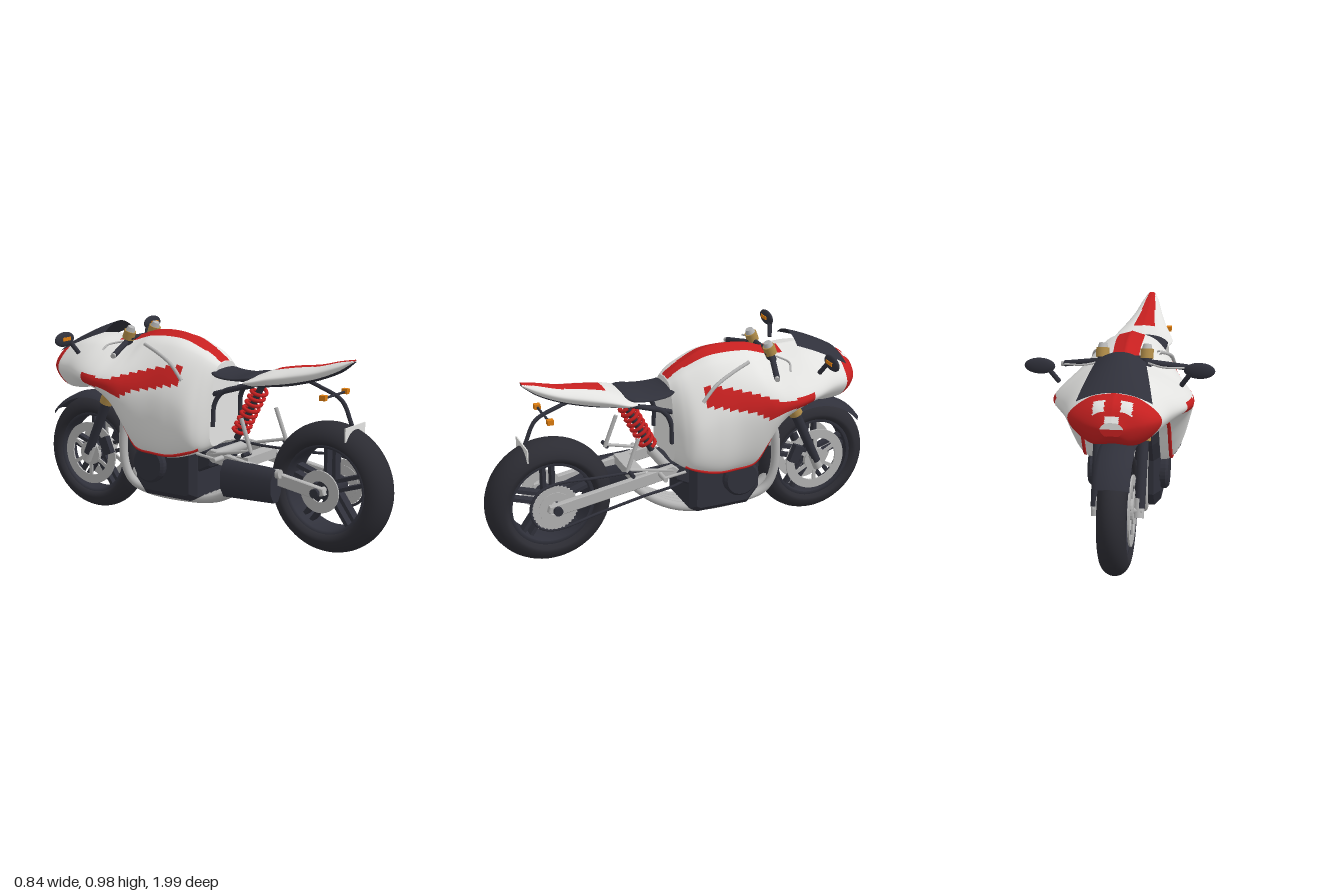
import * as THREE from 'three';

const V = (p) => new THREE.Vector3(...p);
const paint = (name, color, double) => {
  const m = new THREE.MeshStandardMaterial({ color });
  m.name = name;
  if (double) m.side = THREE.DoubleSide;
  return m;
};

export function createModel() {
  const white = paint('white paint', 0xe2e2e0), red = paint('red paint', 0xc62020);
  const dark = paint('dark plastic', 0x30313b, true), rubber = paint('tyre rubber', 0x2c2c33);
  const grey = paint('light metal', 0xb4b4b4, true), gold = paint('gold metal', 0xb08c48);
  const orange = paint('orange lens', 0xdb7c10);
  const root = new THREE.Group();
  root.name = 'motorcycle';

  const add = (name, geo, mat, pos, parent = root) => {
    const m = new THREE.Mesh(geo, mat);
    m.name = name;
    if (pos) m.position.set(...pos);
    parent.add(m);
    return m;
  };
  const rod = (name, a, b, r, mat, r2 = r, sides = 14) => {
    const d = V(b).sub(V(a));
    const m = add(name, new THREE.CylinderGeometry(r2, r, d.length(), sides), mat);
    m.position.copy(V(a)).addScaledVector(d, 0.5);
    m.quaternion.setFromUnitVectors(new THREE.Vector3(0, 1, 0), d.normalize());
    return m;
  };
  const tube = (name, pts, r, mat, closed = false, n = 40, sides = 8) => add(name,
    new THREE.TubeGeometry(new THREE.CatmullRomCurve3(pts.map(V), closed), n, r, sides, closed), mat);
  const box = (name, w, h, d, mat, pos) => add(name, new THREE.BoxGeometry(w, h, d), mat, pos);
  // piecewise linear lookup in [key, value] pairs with falling keys
  const at = (t, z) => {
    for (let i = 1; i < t.length; i++) if (z >= t[i][0])
      return t[i][1] + (t[i - 1][1] - t[i][1]) * (z - t[i][0]) / (t[i - 1][0] - t[i][0]);
    return t.at(-1)[1];
  };
  // smooth mirrored skin over half sections [z, [x, y]...], z falling; pick() gives the material index
  const loft = (name, sections, rows, half, mats, pick = () => 0) => {
    const grid = sections.map(([z, ...pts]) => {
      const c = new THREE.CatmullRomCurve3(pts.map(([x, y]) => V([x, y, z])));
      return Array.from({ length: half + 1 }, (_, i) => c.getPoint(i / half));
    });
    const lines = grid[0].map((_, j) => new THREE.CatmullRomCurve3(grid.map((g) => g[j]), false, 'catmullrom', 0.5));
    const n = 2 * half, pos = [], tris = mats.map(() => []);
    const ring = (t) => {
      for (let j = 0; j < n; j++) {
        const p = lines[j <= half ? j : n - j].getPoint(t);
        pos.push(j <= half ? p.x : -p.x, p.y, p.z);
      }
    };
    const centre = (t) => {
      const a = lines[0].getPoint(t), b = lines[half].getPoint(t);
      for (let j = 0; j < n; j++) pos.push(0, (a.y + b.y) / 2, a.z);
    };
    centre(0); ring(0);
    for (let i = 0; i <= rows; i++) ring(i / rows);
    ring(1); centre(1);
    for (let i = 0; i < rows + 4; i++) {
      if (i === 1 || i === rows + 2) continue;
      for (let j = 0; j < n; j++) {
        const k = (j + 1) % n, a = i * n + j, b = i * n + k, c = a + n, d = b + n;
        const mid = (o) => (pos[a * 3 + o] + pos[b * 3 + o] + pos[c * 3 + o] + pos[d * 3 + o]) / 4;
        const u = (j < half ? j + 0.5 : n - j - 0.5) / half;
        tris[pick(Math.abs(mid(0)), mid(1), mid(2), u)].push(a, b, c, b, d, c);
      }
    }
    const g = new THREE.BufferGeometry();
    g.setAttribute('position', new THREE.Float32BufferAttribute(pos, 3));
    g.setIndex(tris.flat());
    let s = 0;
    tris.forEach((t, i) => { g.addGroup(s, t.length, i); s += t.length; });
    g.computeVertexNormals();
    return add(name, g, mats);
  };
  // plate drawn in (z, y), extruded along x and centred
  const plate = (pts, width, bevel = 0, hole) => {
    const s = new THREE.Shape(pts.map(([z, y]) => new THREE.Vector2(z, y)));
    if (hole) s.holes.push(new THREE.Path().absarc(0, 0, hole, 0, Math.PI * 2));
    const g = new THREE.ExtrudeGeometry(s, { depth: width - 2 * bevel, bevelEnabled: bevel > 0, bevelSize: bevel, bevelThickness: bevel, bevelOffset: -bevel, bevelSegments: 1 });
    return g.translate(0, 0, bevel - width / 2).rotateY(-Math.PI / 2);
  };
  const circle = (r, n, tooth = 0) => Array.from({ length: n }, (_, i) => {
    const a = i / n * Math.PI * 2, q = r - (i % 2) * tooth;
    return [q * Math.cos(a), q * Math.sin(a)];
  });
  const lathe = (pts, start = 0, len = Math.PI * 2) =>
    new THREE.LatheGeometry(pts.map((p) => new THREE.Vector2(...p)), 64, start, len).rotateZ(Math.PI / 2);

  // fairing and tank: z, top, shoulder x/y, widest x/y, bottom x/y
  const hull = [
    [0.09, 0.84, 0.07, 0.82, 0.13, 0.62, 0.12, 0.45], [0.05, 0.87, 0.09, 0.845, 0.19, 0.6, 0.17, 0.43],
    [0, 0.9, 0.1, 0.87, 0.225, 0.62, 0.19, 0.41], [-0.1, 0.95, 0.12, 0.9, 0.24, 0.66, 0.2, 0.385],
    [-0.2, 0.965, 0.13, 0.905, 0.255, 0.69, 0.2, 0.385], [-0.3, 0.96, 0.13, 0.9, 0.285, 0.71, 0.2, 0.4],
    [-0.36, 0.945, 0.13, 0.885, 0.305, 0.72, 0.2, 0.48], [-0.42, 0.925, 0.14, 0.87, 0.315, 0.725, 0.2, 0.58],
    [-0.5, 0.92, 0.15, 0.87, 0.315, 0.73, 0.2, 0.65], [-0.6, 0.92, 0.15, 0.875, 0.285, 0.74, 0.17, 0.67],
    [-0.7, 0.905, 0.14, 0.865, 0.24, 0.75, 0.14, 0.65], [-0.8, 0.865, 0.11, 0.84, 0.2, 0.75, 0.11, 0.645],
    [-0.86, 0.83, 0.08, 0.815, 0.14, 0.75, 0.08, 0.67], [-0.9, 0.77, 0.03, 0.765, 0.05, 0.74, 0.03, 0.71]];
  const bandTop = [[-0.05, 0.83], [-0.22, 0.8], [-0.4, 0.745], [-0.57, 0.76]];
  const bandLow = [[-0.05, 0.74], [-0.26, 0.7], [-0.33, 0.665], [-0.42, 0.7], [-0.57, 0.705]];
  loft('fairing', hull.map(([z, t, sx, sy, w, wy, bx, by]) =>
    [z, [0, t], [sx, sy], [w, wy], [bx, by], [0, by]]), 130, 60, [white, red], (x, y, z, u) => {
    const lamp = (z < -0.825 && z > -0.872 && x > 0.035 && x < 0.085 && u < 0.45) || (z < -0.885 && x < 0.03 && y > 0.74);
    if (z < -0.79) return lamp ? 0 : 1;
    if (u < 0.4 && z > -0.5 && z < 0.085 && x < at([[0.09, 0.035], [-0.1, 0.055], [-0.5, 0.07]], z)) return 1;
    return z < -0.05 && z > -0.57 && y < at(bandTop, z) && y > at(bandLow, z) ? 1 : 0;
  });

  // windscreen: curved sheet
  const screen = new THREE.PlaneGeometry(2, 1, 16, 8), sp = screen.attributes.position;
  for (let i = 0; i < sp.count; i++) {
    const u = sp.getX(i), t = sp.getY(i) + 0.5;
    sp.setXYZ(i, u * (0.165 - 0.055 * t), 0.872 + 0.11 * t + 0.03 * t * (1 - t) - 0.045 * u * u, -0.805 + 0.245 * t);
  }
  screen.computeVertexNormals();
  add('windscreen', screen, dark);

  // seat and tail: z, top, bottom, half width
  const pod = ([z, t, b, w]) => [z, [0, t], [w * 0.6, t - (t - b) * 0.12], [w, (t + b) / 2], [w * 0.6, b], [0, b]];
  loft('tail', [[0.79, 0.915, 0.9, 0.02], [0.72, 0.902, 0.85, 0.045], [0.62, 0.877, 0.807, 0.07], [0.5, 0.86, 0.775, 0.1],
    [0.4, 0.84, 0.76, 0.13], [0.32, 0.81, 0.752, 0.15], [0.27, 0.785, 0.755, 0.13]].map(pod), 60, 30, [white, red, dark],
  (x, y, z, u) => (u > 0.66 ? 2 : u < 0.45 && z > 0.4 && x < 0.015 + 0.1 * (0.79 - z) ? 1 : 0));
  loft('seat', [[0.32, 0.815, 0.78, 0.1], [0.28, 0.81, 0.77, 0.13], [0.2, 0.795, 0.765, 0.13], [0.12, 0.8, 0.765, 0.12],
    [0.07, 0.82, 0.77, 0.1]].map(pod), 20, 14, [dark]);

  // wheels
  const wheel = (name, z, R, w, h) => {
    const g = new THREE.Group();
    g.name = name;
    g.position.set(0, R, z);
    root.add(g);
    const p = [[R - h - 0.015, -w * 0.75]];
    for (let a = -90; a <= 90; a += 12) p.push([R - h + h * Math.cos(a * Math.PI / 180), w * Math.sin(a * Math.PI / 180)]);
    p.push([R - h - 0.015, w * 0.75], p[0]);
    add('tyre', lathe(p), rubber, null, g);
    const r = R - h;
    add('rim', lathe([[r - 0.03, -w * 0.7], [r, -w * 0.8], [r, w * 0.8], [r - 0.03, w * 0.7], [r - 0.03, -w * 0.7]]), dark, null, g);
    add('hub', new THREE.CylinderGeometry(0.045, 0.045, w * 1.5, 24).rotateZ(Math.PI / 2), dark, null, g);
    for (let i = 0; i < 5; i++) for (const s of [-1, 1]) {
      const spoke = new THREE.BoxGeometry(w * 0.5, r - 0.03, 0.018).translate(0, (r + 0.03) / 2, s * 0.022);
      add('spoke', spoke.rotateX(i * Math.PI * 0.4), dark, null, g);
    }
    return g;
  };
  const front = wheel('frontWheel', -0.705, 0.292, 0.065, 0.07);
  const rear = wheel('rearWheel', 0.685, 0.31, 0.095, 0.085);
  for (const s of [-1, 1]) {
    add('brakeDisc', plate(circle(0.16, 48), 0.008, 0, 0.115), grey, [s * 0.065, 0, 0], front);
    add('discCentre', plate(circle(0.06, 24), 0.02, 0, 0.02), grey, [s * 0.065, 0, 0], front);
    for (let i = 0; i < 6; i++) add('discArm', new THREE.BoxGeometry(0.008, 0.07, 0.018).translate(0, 0.085, 0)
      .rotateX(i * Math.PI / 3), grey, [s * 0.065, 0, 0], front);
  }
  add('sprocket', plate(circle(0.115, 72, 0.008), 0.008, 0, 0.075), grey, [0.11, 0, 0], rear);
  add('sprocketHub', plate(circle(0.08, 24), 0.014, 0, 0.035), grey, [0.11, 0, 0], rear);
  add('rearDisc', plate(circle(0.1, 32), 0.008, 0, 0.05), grey, [-0.11, 0, 0], rear);
  const deg = Math.PI / 180;
  add('frontFender', lathe([[0.29, -0.08], [0.31, -0.06], [0.32, 0], [0.31, 0.06], [0.29, 0.08]], 60 * deg, 82 * deg), dark, [0, 0.292, -0.705]);

  // engine, chain and exhaust
  add('engine', plate([[0.01, 0.42], [0.01, 0.18], [-0.03, 0.155], [-0.3, 0.155], [-0.36, 0.23], [-0.36, 0.4], [-0.43, 0.5],
    [-0.475, 0.64], [-0.35, 0.64], [-0.1, 0.5]], 0.31, 0.03), dark);
  add('gearCase', plate([[0.1, 0.42], [0.08, 0.34], [0, 0.3], [-0.1, 0.3], [-0.1, 0.42]], 0.24, 0.01), dark);
  const chain = [[0.685, 0.43], [0.04, 0.418], [0.005, 0.37], [0.04, 0.325], [0.69, 0.195], [0.77, 0.225], [0.805, 0.31], [0.77, 0.395]];
  tube('chain', chain.flatMap(([z, y], i) => {
    const [z2, y2] = chain[(i + 1) % chain.length];
    return i === 0 || i === 3 ? [0, 0.33, 0.66].map((t) => [0.11, y + (y2 - y) * t, z + (z2 - z) * t]) : [[0.11, y, z]];
  }), 0.007, dark, true, 120, 6);
  for (const x of [-0.09, -0.03, 0.03, 0.09]) tube('exhaustPipe', [[x, 0.57, -0.4], [x, 0.53, -0.45], [x, 0.3, -0.465],
    [x * 0.95, 0.2, -0.42], [x * 0.85, 0.16, -0.32], [x * 0.7, 0.158, 0], [x * 0.5 - 0.04, 0.2, 0.14], [x * 0.3 - 0.1, 0.27, 0.24]], 0.022, grey, false, 60, 12);
  const muffler = new THREE.CylinderGeometry(0.085, 0.095, 0.28, 8).rotateY(Math.PI / 8).rotateX(Math.PI / 2).scale(0.58, 1, 1);
  add('muffler', muffler, dark, [-0.158, 0.315, 0.34]);
  rod('exhaustTip', [-0.152, 0.37, 0.44], [-0.152, 0.375, 0.5], 0.022, grey);

  // rear shock
  const top = V([0, 0.75, 0.3]), low = V([0, 0.47, 0.155]), axis = low.clone().sub(top);
  rod('shockRod', top.toArray(), low.toArray(), 0.016, dark);
  const coil = Array.from({ length: 113 }, (_, i) => {
    const a = i / 14 * Math.PI * 2, p = top.clone().addScaledVector(axis, 0.1 + 0.8 * i / 112);
    return [0.036 * Math.cos(a), p.y - 0.0165 * Math.sin(a), p.z + 0.032 * Math.sin(a)];
  });
  tube('shockSpring', coil, 0.009, red, false, 300, 6);

  // paired parts
  for (const s of [-1, 1]) {
    tube('fairingTrim', hull.slice(1, 9).map((h) => [s * (h[6] + 0.002), h[7] + 0.004, h[0]]), 0.009, red);
    tube('tankTrim', [[s * 0.195, 0.76, -0.03], [s * 0.185, 0.83, -0.1], [s * 0.16, 0.875, -0.2], [s * 0.14, 0.905, -0.29]], 0.009, grey);
    add('engineCover', plate(circle(0.092, 32), 0.05, 0.012), dark, [s * 0.165, 0.32, -0.245]);
    add('swingarm', plate([[0.72, 0.335], [0.73, 0.305], [0.66, 0.285], [0.1, 0.375], [0.07, 0.41], [0.1, 0.435]], 0.03, 0.004), grey, [s * 0.132, 0, 0]);
    rod('axleNut', [s * 0.14, 0.312, 0.685], [s * 0.165, 0.312, 0.685], 0.022, dark);
    rod('pegHanger', [s * 0.15, 0.61, 0.28], [s * 0.155, 0.45, 0.34], 0.01, grey);
    rod('hangerBrace', [s * 0.14, 0.41, 0.1], [s * 0.155, 0.46, 0.33], 0.008, grey);
    rod('rearPeg', [s * 0.15, 0.45, 0.33], [s * 0.213, 0.45, 0.33], 0.01, dark);
    rod('riderPeg', [s * 0.14, 0.405, 0.17], [s * 0.22, 0.405, 0.17], 0.012, grey);
    rod('footLever', [s * 0.2, 0.42, 0.06], [s * 0.2, 0.405, 0.18], 0.007, grey);
    tube('subframe', [[s * 0.08, 0.755, 0.3], [s * 0.1, 0.71, 0.14], [s * 0.11, 0.65, 0.1], [s * 0.118, 0.54, 0.095]], 0.012, dark);
    rod('subframeRail', [s * 0.09, 0.77, 0.33], [s * 0.1, 0.69, 0.07], 0.012, dark);
    // fork
    rod('forkTube', [s * 0.1, 0.93, -0.41], [s * 0.1, 0.62, -0.55], 0.022, dark);
    rod('forkLeg', [s * 0.1, 0.65, -0.535], [s * 0.1, 0.3, -0.695], 0.026, dark, 0.022);
    rod('forkCollar', [s * 0.1, 0.645, -0.54], [s * 0.1, 0.575, -0.572], 0.034, gold);
    rod('forkFoot', [s * 0.095, 0.34, -0.675], [s * 0.095, 0.26, -0.71], 0.024, grey);
    box('brakeCaliper', 0.035, 0.09, 0.05, dark, [s * 0.085, 0.35, -0.585]).rotation.x = -0.4;
    rod('forkClamp', [s * 0.1, 0.915, -0.425], [s * 0.1, 0.955, -0.41], 0.03, gold);
    rod('forkCap', [s * 0.1, 0.955, -0.41], [s * 0.1, 0.975, -0.402], 0.024, grey, 0.018);
    // handlebar, levers and mirrors
    rod('grip', [s * 0.28, 0.862, -0.37], [s * 0.1, 0.9, -0.43], 0.014, dark);
    rod('barEnd', [s * 0.295, 0.859, -0.365], [s * 0.28, 0.862, -0.37], 0.012, grey);
    tube('lever', [[s * 0.11, 0.9, -0.45], [s * 0.18, 0.892, -0.48], [s * 0.27, 0.882, -0.445]], 0.005, grey, false, 20, 6);
    rod('mirrorStem', [s * 0.27, 0.85, -0.6], [s * 0.31, 0.91, -0.62], 0.011, dark);
    add('mirror', new THREE.SphereGeometry(1, 28, 16).scale(0.068, 0.036, 0.016), dark, [s * 0.35, 0.925, -0.62]);
    box('mirrorLens', 0.056, 0.017, 0.006, orange, [s * 0.35, 0.928, -0.604]);
    box('turnSignal', 0.026, 0.024, 0.03, orange, [s * 0.1, 0.745, 0.69]);
  }
  rod('handlebarBridge', [-0.1, 0.915, -0.425], [0.1, 0.915, -0.425], 0.012, dark);
  rod('forkBridge', [-0.1, 0.64, -0.54], [0.1, 0.64, -0.54], 0.025, dark);
  rod('frontAxle', [-0.11, 0.292, -0.705], [0.11, 0.292, -0.705], 0.015, grey);
  rod('rearAxle', [-0.15, 0.312, 0.685], [0.15, 0.312, 0.685], 0.015, grey);
  rod('swingarmPivot', [-0.14, 0.405, 0.11], [0.14, 0.405, 0.11], 0.025, grey);
  box('swingarmBridge', 0.26, 0.045, 0.07, grey, [0, 0.395, 0.27]);

  // plate bracket
  tube('plateBracket', [[0, 0.79, 0.56], [0, 0.77, 0.62], [0, 0.72, 0.73], [0, 0.61, 0.785]], 0.01, dark);
  rod('signalBar', [-0.1, 0.742, 0.69], [0.1, 0.742, 0.69], 0.006, dark);
  box('rearPlate', 0.18, 0.065, 0.006, white, [0, 0.583, 0.8]);
  return root;
}
